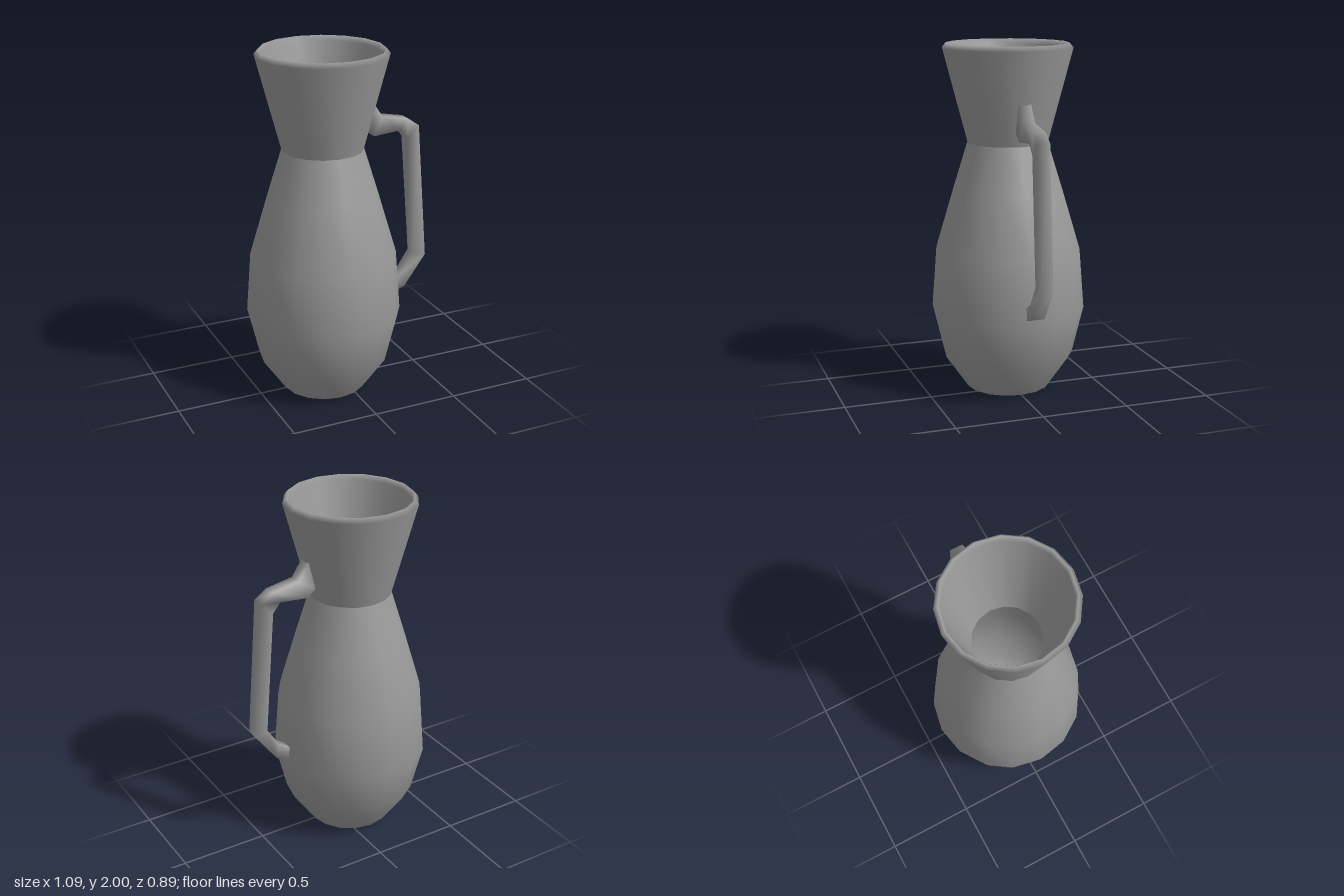
import * as THREE from 'three';

const material = new THREE.MeshStandardMaterial({ color: 0x999999, side: THREE.DoubleSide });
const SIDES = 16;

function lathePart(name, profile) {
  const points = profile.map(([r, y]) => new THREE.Vector2(r, y));
  const mesh = new THREE.Mesh(new THREE.LatheGeometry(points, SIDES), material);
  mesh.name = name;
  return mesh;
}

// Four-sided bar swept through pairs of outer and inner edge points
function handleGeometry(rings, halfWidth) {
  const positions = [], index = [];
  for (const [ox, oy, ix, iy] of rings) {
    positions.push(ox, oy, halfWidth, ox, oy, -halfWidth, ix, iy, -halfWidth, ix, iy, halfWidth);
  }
  for (let i = 0; i < rings.length - 1; i++) {
    for (let j = 0; j < 4; j++) {
      const a = i * 4 + j, b = i * 4 + (j + 1) % 4;
      index.push(a, a + 4, b, b, a + 4, b + 4);
    }
  }
  const geometry = new THREE.BufferGeometry();
  geometry.setAttribute('position', new THREE.Float32BufferAttribute(positions, 3));
  geometry.setIndex(index);
  geometry.computeVertexNormals();
  return geometry;
}

export function createModel() {
  const group = new THREE.Group();
  group.name = 'jug';

  // Vessel: separate lathes keep the foot and waist edges sharp
  const vessel = new THREE.Group();
  vessel.name = 'vessel';
  vessel.position.x = -0.1;
  vessel.add(
    lathePart('base', [[0, 0], [0.242, 0]]),
    lathePart('belly', [[0.242, 0], [0.377, 0.195], [0.443, 0.47], [0.416, 0.82], [0.316, 1.16], [0.23, 1.44]]),
    lathePart('neckAndRim', [[0.23, 1.44], [0.37, 1.973], [0.348, 2], [0.335, 1.97], [0.195, 1.44]]),
    lathePart('innerWall', [[0.195, 1.44], [0.283, 1.15], [0.38, 0.81], [0.408, 0.48], [0.345, 0.22], [0.22, 0.04], [0, 0.04]])
  );
  group.add(vessel);

  // Handle: outer x, outer y, inner x, inner y
  const handle = new THREE.Mesh(handleGeometry([
    [0.185, 1.685, 0.145, 1.52],
    [0.25, 1.59, 0.2, 1.48],
    [0.41, 1.56, 0.365, 1.495],
    [0.482, 1.51, 0.41, 1.44],
    [0.543, 0.71, 0.466, 0.73],
    [0.41, 0.53, 0.39, 0.615],
    [0.32, 0.498, 0.32, 0.573]
  ], 0.037), material);
  handle.name = 'handle';
  group.add(handle);

  return group;
}
